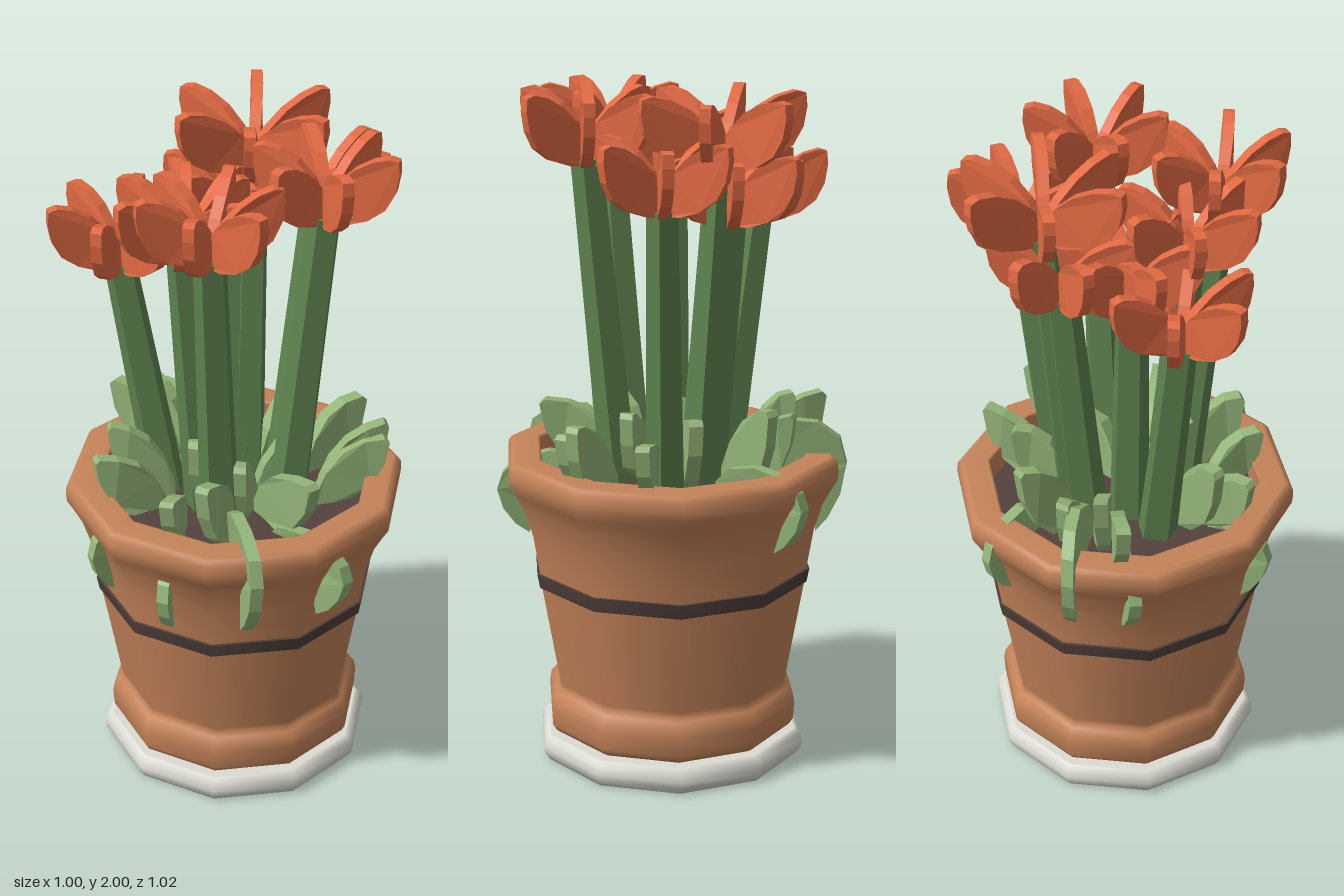
import * as THREE from 'three';

const paint = (name, color) => {
  const m = new THREE.MeshStandardMaterial({ color });
  m.name = name;
  return m;
};

export function createModel() {
  const clay = paint('terracotta', 0xc48359);
  const dark = paint('dark band', 0x4f3f3b);
  const earth = paint('soil brown', 0x54423d);
  const stone = paint('pale stone', 0xdcdcd4);
  const stemGreen = paint('stem green', 0x5f8350);
  const leafGreen = paint('leaf green', 0x93b478);
  const coral = paint('petal coral', 0xe26a43);

  const model = new THREE.Group();
  model.name = 'pottedFlowers';
  const add = (parent, name, geometry, material) => {
    const mesh = new THREE.Mesh(geometry, material);
    mesh.name = name;
    parent.add(mesh);
    return mesh;
  };
  const group = (name, parent = model) => {
    const g = new THREE.Group();
    g.name = name;
    parent.add(g);
    return g;
  };

  // Ten-sided turned parts with a corner on the x axis
  const turned = (name, profile, material) => add(model, name,
    new THREE.LatheGeometry(profile.map(([r, y]) => new THREE.Vector2(r, y)), 10, Math.PI / 2), material);

  turned('saucer', [[0, 0], [0.388, 0], [0.403, 0.022], [0.405, 0.04], [0.4, 0.065],
    [0.385, 0.076], [0.38, 0.077], [0, 0.077]], stone);
  turned('pot', [[0, 0.078], [0.345, 0.078], [0.365, 0.09], [0.377, 0.11], [0.38, 0.16], [0.375, 0.19],
    [0.36, 0.208], [0.348, 0.218], [0.35, 0.235], [0.405, 0.55], [0.415, 0.62], [0.43, 0.71], [0.455, 0.79],
    [0.482, 0.84], [0.497, 0.865], [0.5, 0.89], [0.498, 0.915], [0.488, 0.93], [0.475, 0.935], [0.408, 0.935],
    [0.403, 0.934], [0.4, 0.928], [0.398, 0.83]], clay);
  turned('band', [[0.39, 0.546], [0.41, 0.546], [0.411, 0.547], [0.419, 0.589], [0.418, 0.59], [0.39, 0.59]], dark);
  turned('soil', [[0.399, 0.86], [0, 0.861]], earth);

  // A thick blade standing in a radial plane, gently curved in plan
  const blade = (points, thickness, bend, length) => {
    const shape = new THREE.Shape(points.map(([r, y]) => new THREE.Vector2(r, y)));
    const g = new THREE.ExtrudeGeometry(shape, { depth: thickness, bevelEnabled: false });
    g.translate(0, 0, -thickness / 2);
    const p = g.attributes.position;
    for (let i = 0; i < p.count; i++) {
      p.setZ(i, p.getZ(i) + bend * Math.sin(Math.PI * p.getX(i) / length));
    }
    g.computeVertexNormals();
    return g;
  };

  const petalOutline = [[0, 0], [0.06, 0.003], [0.12, 0.024], [0.168, 0.06], [0.194, 0.11], [0.203, 0.165],
    [0.2, 0.203], [0.175, 0.21], [0.13, 0.198], [0.08, 0.168], [0.035, 0.12], [0, 0.065]];

  // Flowers: head x, head z, top height, first petal angle in degrees, spread
  const flowers = [
    [-0.19, -0.27, 1.775, 30, 1], [-0.04, -0.14, 1.82, 0, 1], [0.2, -0.13, 2.0, 17, 1.18],
    [-0.25, 0.16, 1.965, 30, 1], [0.11, 0.24, 2.0, 0, 1], [0.29, 0.04, 1.89, 0, 1],
    [-0.18, -0.02, 1.89, 15, 1], [0.15, -0.16, 1.83, 0, 1],
  ];
  flowers.forEach(([x, z, top, turn, spread]) => {
    const flower = group('flower');
    const head = group('flowerHead', flower);
    head.position.set(x, top - 0.21, z);
    const petal = blade(petalOutline.map(([r, y]) => [r * spread, y]), 0.032, 0.007, 0.2 * spread);
    for (let i = 0; i < 6; i++) {
      add(head, 'petal', petal, coral).rotation.y = -(turn + i * 60) * Math.PI / 180;
    }
    // Leaning stem from the soil up into the head
    const end = new THREE.Vector3(x, top - 0.19, z);
    const start = new THREE.Vector3(x * 0.62, 0.84, z * 0.62);
    const axis = end.clone().sub(start);
    const stemGeometry = new THREE.CylinderGeometry(0.048, 0.06, axis.length(), 5).toNonIndexed();
    stemGeometry.computeVertexNormals();
    const stem = add(flower, 'stem', stemGeometry, stemGreen);
    stem.position.copy(start).add(end).multiplyScalar(0.5);
    stem.quaternion.setFromUnitVectors(new THREE.Vector3(0, 1, 0), axis.normalize());
  });

  // Upright leaves: root x, root z, tip x, tip z, tip height
  const leafOutline = [[0, 0], [0.45, 0.06], [0.76, 0.28], [0.94, 0.6], [1, 0.94], [0.94, 1], [0.68, 0.96],
    [0.38, 0.82], [0.14, 0.55], [0, 0.25]];
  const leaves = group('leaves');
  [
    [-0.2, -0.09, -0.39, -0.18, 1.06], [-0.02, -0.23, -0.06, -0.46, 1.08], [0.04, -0.22, 0.02, -0.36, 1.1],
    [0.08, -0.22, 0.13, -0.35, 1.06], [0.22, 0.07, 0.43, 0.11, 1.06], [0.17, 0.18, 0.33, 0.3, 1.09],
    [0.12, 0.21, 0.3, 0.33, 1.06], [-0.02, 0.12, -0.06, 0.38, 1.07], [-0.24, 0.02, -0.39, 0.12, 1.04],
    [-0.01, 0.08, -0.16, 0.18, 1.08], [-0.15, -0.1, -0.3, -0.22, 1.12], [-0.02, -0.06, -0.2, 0.04, 1.12],
    [0.13, -0.15, 0.27, -0.27, 1.11], [0.14, -0.05, 0.32, -0.05, 1.1], [-0.16, 0.14, -0.33, 0.2, 1.1],
    [0.02, 0.06, 0.17, 0.14, 1.08],
  ].forEach(([x, z, tx, tz, top], i) => {
    const length = Math.hypot(tx - x, tz - z), height = top - 0.84;
    const g = blade(leafOutline.map(([r, y]) => [r * length, y * height]), 0.04, i % 2 ? 0.015 : -0.015, length);
    const leaf = add(leaves, 'leaf', g, leafGreen);
    leaf.position.set(x, 0.84, z);
    leaf.rotation.y = -Math.atan2(tz - z, tx - x);
  });

  // Drooping leaves, some arching over the rim: outline, direction in degrees, lift, reach
  const lowDroop = [[0.22, 0.84], [0.4, 0.75], [0.42, 0.66], [0.46, 0.69], [0.495, 0.74], [0.512, 0.8],
    [0.495, 0.85], [0.45, 0.89], [0.36, 0.91], [0.27, 0.89]];
  const archDroop = [[0.2, 0.84], [0.43, 0.8], [0.43, 0.66], [0.465, 0.7], [0.5, 0.77], [0.516, 0.86],
    [0.495, 0.94], [0.43, 0.99], [0.34, 1.0], [0.25, 0.95]];
  [[lowDroop, 160, -0.06, 0.9], [archDroop, 128, 0, 1], [lowDroop, 96, 0, 1], [archDroop, -79, 0.04, 1],
    [lowDroop, -45, 0.04, 0.98], [lowDroop, -102, 0.02, 0.94], [lowDroop, 197, -0.04, 0.92],
  ].forEach(([outline, deg, lift, reach]) => {
    const g = blade(outline.map(([r, y]) => [r * reach, y + lift]), 0.036, 0.04, 0.5);
    add(leaves, 'droopingLeaf', g, leafGreen).rotation.y = -deg * Math.PI / 180;
  });

  return model;
}
